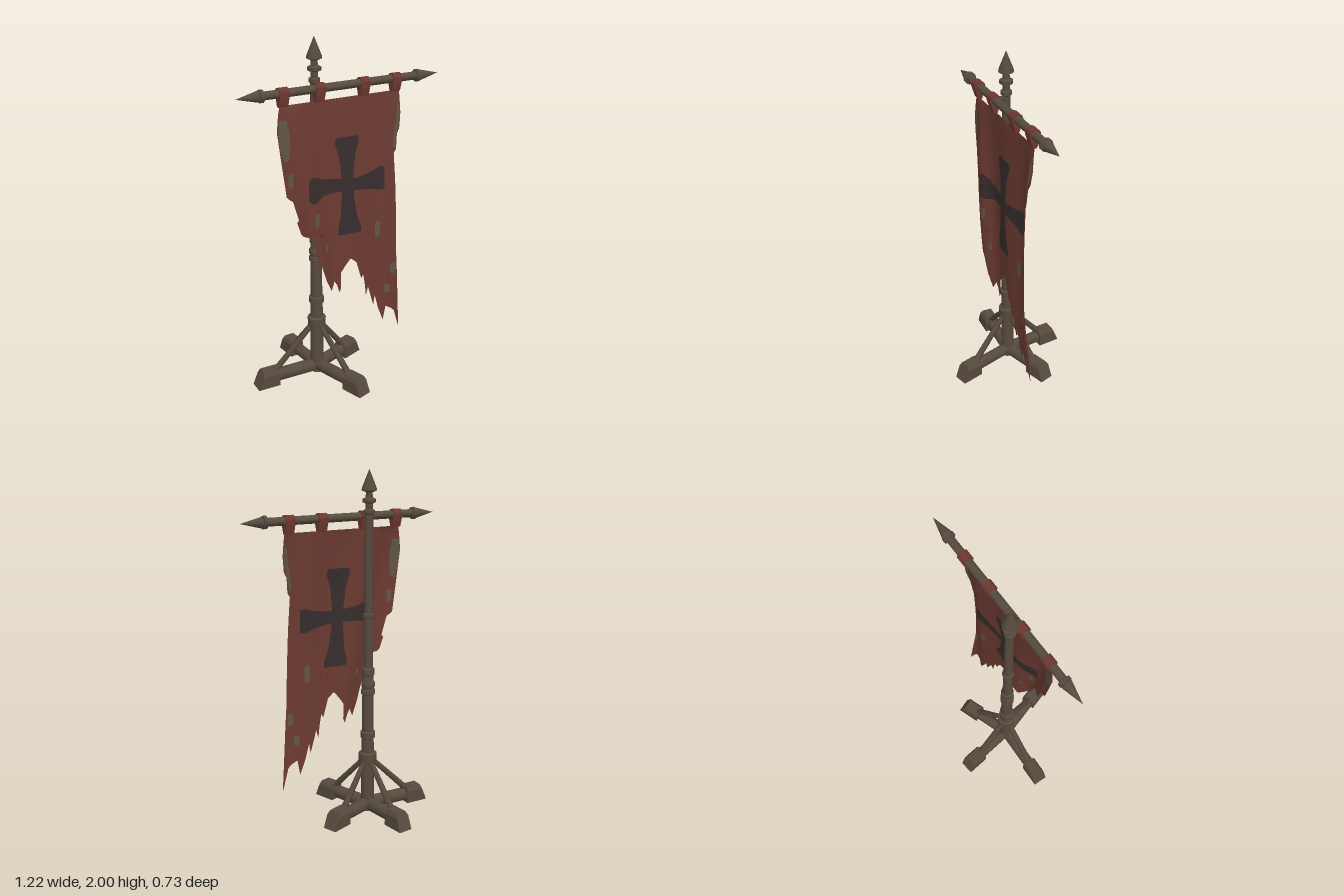
import * as THREE from 'three';
import { toCreasedNormals } from 'three/addons/utils/BufferGeometryUtils.js';

const mat = (name, color, side = THREE.FrontSide) => {
  const m = new THREE.MeshStandardMaterial({ color, side });
  m.name = name;
  return m;
};

// piecewise-linear lookup in a list of [key, value] with rising keys
function lookup(table, k) {
  if (k <= table[0][0]) return table[0][1];
  for (let i = 1; i < table.length; i++) {
    const [k0, v0] = table[i - 1], [k1, v1] = table[i];
    if (k <= k1) return v0 + (v1 - v0) * (k - k0) / (k1 - k0);
  }
  return table[table.length - 1][1];
}

const steps = n => Array.from({ length: n + 1 }, (_, i) => i / n);

// surface grid: u runs right, v runs down
function grid(us, vs, fn) {
  const pos = [], idx = [], n = vs.length;
  for (const u of us) for (const v of vs) pos.push(...fn(u, v));
  for (let i = 0; i < us.length - 1; i++) for (let j = 0; j < n - 1; j++) {
    const a = i * n + j, b = a + 1, c = a + n + 1, d = a + n;
    idx.push(a, b, c, a, c, d);
  }
  const g = new THREE.BufferGeometry();
  g.setAttribute('position', new THREE.Float32BufferAttribute(pos, 3));
  g.setIndex(idx);
  g.computeVertexNormals();
  return g;
}

const lathe = pts => toCreasedNormals(
  new THREE.LatheGeometry(pts.map(p => new THREE.Vector2(...p)), 12), 0.6);

// torn side edges of the cloth as [y, x]
const leftEdge = [[0.57, -0.09], [0.65, -0.13], [0.76, -0.167], [0.78, -0.185], [0.93, -0.215],
  [0.945, -0.27], [1.03, -0.295], [1.04, -0.285], [1.155, -0.315], [1.17, -0.345], [1.25, -0.355],
  [1.37, -0.37], [1.54, -0.39], [1.63, -0.38], [1.675, -0.37]];
const rightEdge = [[0.2, 0.385], [0.39, 0.368], [0.7, 0.34], [1.13, 0.325], [1.33, 0.315],
  [1.345, 0.328], [1.44, 0.335], [1.46, 0.352], [1.55, 0.362], [1.675, 0.355]];
// torn lower edge as [x, y]
const lowerEdge = [[-0.09, 0.57], [-0.065, 0.62], [-0.03, 0.54], [-0.02, 0.66], [0, 0.69], [0.04, 0.74],
  [0.077, 0.71], [0.11, 0.6], [0.125, 0.62], [0.145, 0.48], [0.16, 0.53], [0.2, 0.4], [0.21, 0.46],
  [0.235, 0.37], [0.27, 0.28], [0.285, 0.37], [0.32, 0.35], [0.34, 0.33], [0.385, 0.2]];

// depth of the hanging folds
function foldZ(x, y) {
  const h = Math.min(1, Math.max(0, (1.675 - y) / 1.475));
  const env = Math.pow(Math.sin(Math.PI * Math.min(h, 0.999)), 0.6);
  const bump = (c, w) => Math.exp(-(((x - c) / w) ** 2));
  return 0.056 + 0.022 * h + env * (0.052 * bump(-0.3 + 0.2 * h, 0.08)
    + 0.02 * bump(0.05 + 0.06 * h, 0.12) + 0.034 * bump(0.335, 0.05));
}

function clothGeometry() {
  const hem = lowerEdge.map(([x, y]) => {
    const l = lookup(leftEdge, y), r = lookup(rightEdge, y);
    return [(x - l) / (r - l), y];
  });
  const us = [...steps(50), ...hem.map(p => p[0])]
    .filter(u => u >= 0 && u <= 1).sort((a, b) => a - b)
    .filter((u, i, arr) => i === 0 || u - arr[i - 1] > 1e-5);
  return grid(us, steps(80), (u, v) => {
    const y = THREE.MathUtils.lerp(1.675, lookup(hem, u), v);
    const x = THREE.MathUtils.lerp(lookup(leftEdge, y), lookup(rightEdge, y), u);
    return [x, y, foldZ(x, y)];
  });
}

// painted strip on the cloth: rows are [along, centre, half width]
function strip(rows, horizontal, offset) {
  const centre = rows.map(r => [r[0], r[1]]), half = rows.map(r => [r[0], r[2]]);
  const a = rows[0][0], b = rows[rows.length - 1][0];
  return grid(steps(horizontal ? 32 : 12), steps(horizontal ? 12 : 32), (u, v) => {
    const t = horizontal ? a + (b - a) * u : b + (a - b) * v;
    const s = lookup(centre, t) + lookup(half, t) * (horizontal ? 1 - 2 * v : 2 * u - 1);
    const [x, y] = horizontal ? [t, s] : [s, t];
    return [x, y, foldZ(x, y) + offset];
  });
}

export function createModel() {
  const model = new THREE.Group();
  model.name = 'bannerStand';
  const wood = mat('weathered wood', 0x564a3e);
  const cloth = mat('red cloth', 0x6b3a31, THREE.DoubleSide);
  const paint = mat('dark emblem', 0x372d2d, THREE.DoubleSide);
  const worn = mat('worn patch', 0x5f5546, THREE.DoubleSide);
  const strap = mat('red strap', 0x6e3730);
  const add = (parent, name, geo, material) => {
    const m = new THREE.Mesh(geo, material);
    m.name = name;
    parent.add(m);
    return m;
  };

  // upright pole with collars and a pointed finial
  const PX = -0.13, PZ = -0.012;
  add(model, 'pole', lathe([[0, 0.01], [0.04, 0.01], [0.037, 0.31], [0.052, 0.312], [0.053, 0.368], [0.037, 0.375],
    [0.035, 0.46], [0.043, 0.465], [0.043, 0.5], [0.034, 0.505], [0.033, 0.725], [0.04, 0.73], [0.04, 0.755],
    [0.034, 0.765], [0.039, 0.775], [0.039, 0.8], [0.032, 0.81], [0.031, 0.84], [0.037, 0.845], [0.037, 0.88],
    [0.028, 0.89], [0.026, 1.175], [0.033, 1.18], [0.033, 1.2], [0.025, 1.205], [0.023, 1.755], [0.031, 1.76],
    [0.031, 1.78], [0.02, 1.785], [0.02, 1.815], [0.037, 1.822], [0.037, 1.84], [0.02, 1.848], [0.018, 1.875],
    [0.042, 1.885], [0.04, 1.9], [0, 2]]), wood).position.set(PX, 0, PZ);

  // crossbar with a pointed tip at each end
  const half = [[0, 0.61], [0.03, 0.488], [0.026, 0.482], [0.035, 0.48], [0.035, 0.462], [0.023, 0.458]];
  const bar = add(model, 'crossbar',
    lathe([...half.map(([r, y]) => [r, -y]), ...half.slice().reverse()]), wood);
  bar.rotation.z = Math.PI / 2;
  bar.position.set(0, 1.74, 0.056);
  const pin = add(model, 'crossbarPin', new THREE.CylinderGeometry(0.014, 0.014, 0.07, 8), wood);
  pin.rotation.x = Math.PI / 2;
  pin.position.set(PX, 1.74, 0.02);

  // four legs: beam, wedge foot and diagonal brace
  const footShape = new THREE.Shape([[-0.043, 0], [0.043, 0], [0.043, 0.075], [0.03, 0.1], [-0.03, 0.1], [-0.043, 0.075]]
    .map(p => new THREE.Vector2(...p)));
  for (const [name, ex, ez] of [['leftward', 0.195, -0.125], ['rightward', -0.525, -0.023],
    ['front', -0.018, 0.355], ['back', -0.168, -0.36]]) {
    const leg = new THREE.Group();
    leg.name = name + 'Leg';
    const dx = ex - PX, dz = ez - PZ, len = Math.hypot(dx, dz);
    leg.position.set(PX, 0, PZ);
    leg.rotation.y = Math.atan2(dx, dz);
    model.add(leg);
    const beam = add(leg, 'beam', toCreasedNormals(
      new THREE.CylinderGeometry(0.04, 0.04, len - 0.06, 8).rotateY(Math.PI / 8), 0.9), wood);
    beam.rotation.x = Math.PI / 2;
    beam.scale.x = 0.85;
    beam.position.set(0, 0.048, (len - 0.06) / 2);
    const foot = new THREE.ExtrudeGeometry(footShape, { depth: 0.135, bevelEnabled: false });
    const p = foot.attributes.position;
    for (let i = 0; i < p.count; i++) if (p.getZ(i) > 0.1) p.setZ(i, 0.135 - 0.4 * p.getY(i));
    foot.computeVertexNormals();
    add(leg, 'foot', foot, wood).position.z = len - 0.135;
    const from = new THREE.Vector3(0, 0.075, len - 0.115), to = new THREE.Vector3(0, 0.325, 0.025);
    const brace = add(leg, 'brace', new THREE.CylinderGeometry(0.015, 0.019, from.distanceTo(to), 6), wood);
    brace.position.copy(from).lerp(to, 0.5);
    brace.quaternion.setFromUnitVectors(new THREE.Vector3(0, 1, 0), to.sub(from).normalize());
  }

  // hanging straps around the crossbar
  const loop = new THREE.Shape();
  loop.moveTo(-0.01, -0.07);
  loop.lineTo(0.01, -0.07);
  loop.lineTo(0.03, -0.008);
  loop.absarc(0, 0, 0.031, -0.25, Math.PI + 0.25, false);
  loop.closePath();
  for (const x of [-0.35, -0.14, 0.13, 0.33]) {
    const g = new THREE.ExtrudeGeometry(loop, { depth: 0.054, bevelEnabled: false, curveSegments: 10 });
    g.rotateY(-Math.PI / 2);
    add(model, 'strap', toCreasedNormals(g, 0.7), strap).position.set(x + 0.027, 1.74, 0.056);
  }

  // torn cloth with its painted emblem and worn spots on both faces
  add(model, 'bannerCloth', clothGeometry(), cloth);
  const upright = [[0.895, 0.035, 0.068], [0.92, 0.035, 0.074], [1.0, 0.028, 0.05], [1.12, 0.022, 0.036],
    [1.25, 0.02, 0.036], [1.36, 0.02, 0.05], [1.43, 0.02, 0.074], [1.46, 0.02, 0.066]];
  const across = [[-0.235, 1.2, 0.05], [-0.215, 1.2, 0.075], [-0.18, 1.195, 0.07], [-0.12, 1.195, 0.046],
    [-0.02, 1.19, 0.036], [0.08, 1.185, 0.036], [0.17, 1.185, 0.05], [0.24, 1.185, 0.07], [0.265, 1.185, 0.064]];
  const spot = (x, y, w, h) => [[y - h, x, w * 0.5], [y - h * 0.7, x, w], [y + h * 0.7, x, w], [y + h, x, w * 0.6]];
  const spots = [
    [[1.38, -0.345, 0.012], [1.45, -0.35, 0.025], [1.52, -0.355, 0.03], [1.6, -0.358, 0.02]],
    [[1.36, 0.314, 0.005], [1.45, 0.325, 0.009], [1.53, 0.345, 0.013], [1.6, 0.346, 0.008]],
    spot(0.222, 0.88, 0.018, 0.05), spot(0.32, 0.62, 0.017, 0.035), spot(0.288, 0.49, 0.016, 0.028),
    spot(-0.185, 1.03, 0.015, 0.036), spot(-0.12, 0.84, 0.01, 0.025), spot(-0.325, 1.27, 0.012, 0.04)];
  for (const off of [0.003, -0.003]) {
    add(model, 'emblemUpright', strip(upright, false, off), paint);
    add(model, 'emblemCrosspiece', strip(across, true, off), paint);
    for (const s of spots) add(model, 'wornPatch', strip(s, false, off), worn);
  }
  return model;
}
